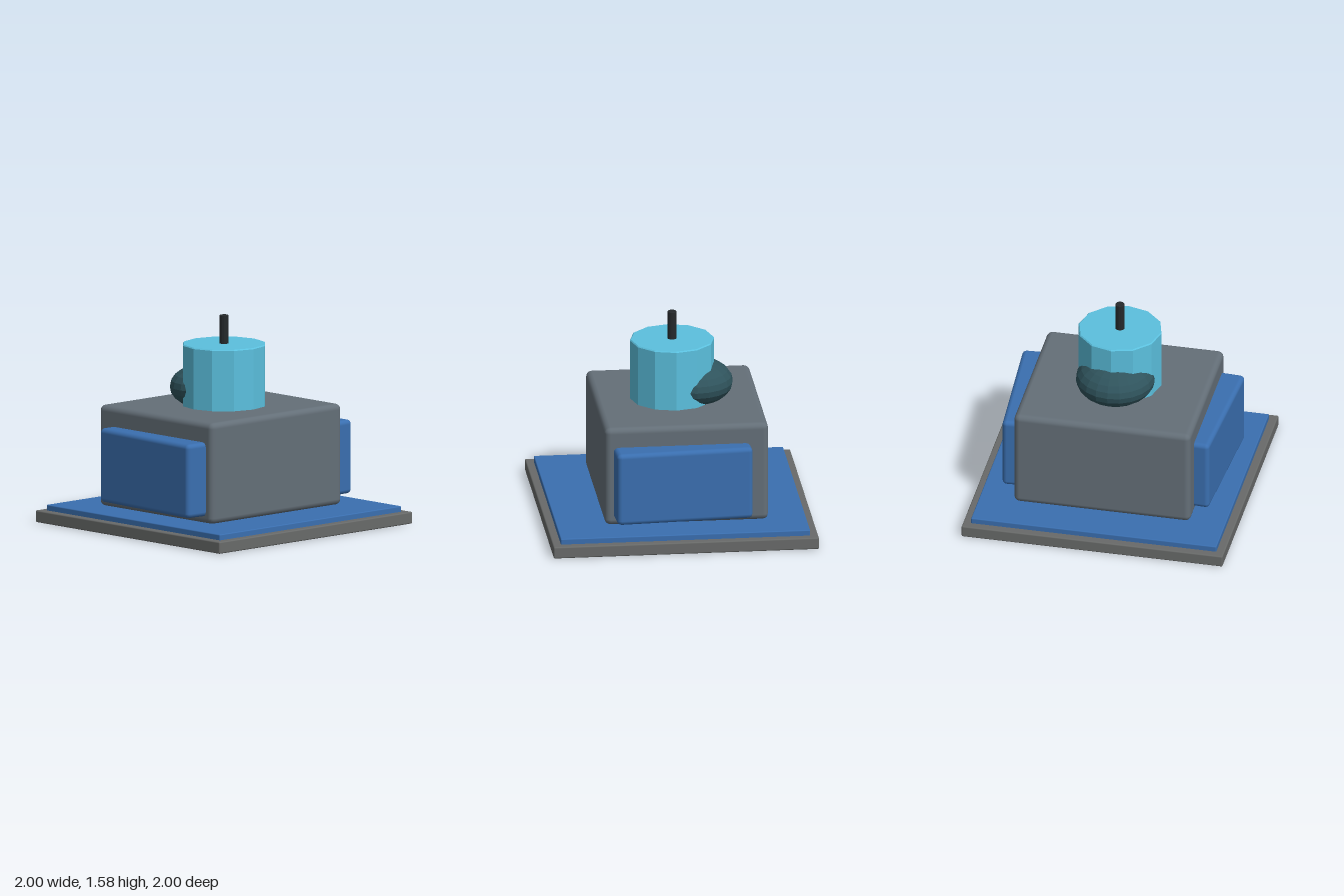
import * as THREE from 'three';
import { RoundedBoxGeometry } from 'three/addons/geometries/RoundedBoxGeometry.js';

const paint = (color, flatShading = false) => new THREE.MeshStandardMaterial({ color, flatShading });

export function createModel() {
  const model = new THREE.Group();
  const blue = paint(0x3a6fb0);

  const add = (name, geometry, material, x, y, z) => {
    const mesh = new THREE.Mesh(geometry, material);
    mesh.name = name;
    mesh.position.set(x, y, z);
    model.add(mesh);
    return mesh;
  };

  // Box with softened edges, standing on the height y0
  const block = (name, [w, h, d], bevel, material, x, y0, z) =>
    add(name, new RoundedBoxGeometry(w, h, d, 2, bevel), material, x, y0 + h / 2, z);

  // Upright faceted post with a small chamfer at both ends
  const post = (name, r, y0, y1, sides, c, material) => {
    const profile = [[0, y0], [r - c, y0], [r, y0 + c], [r, y1 - c], [r - c, y1], [0, y1]];
    const points = profile.map(([x, y]) => new THREE.Vector2(x, y));
    return add(name, new THREE.LatheGeometry(points, sides), material, 0, 0, 0);
  };

  // Square base with an inset plate
  block('base', [2, 0.09, 2], 0.01, paint(0x686a69), 0, 0, 0);
  block('basePlate', [1.88, 0.06, 1.88], 0.008, blue, 0, 0.073, 0);

  // Main body, slightly longer to the back
  block('body', [1.354, 0.768, 1.234], 0.045, paint(0x646f78), 0, 0.131, -0.038);

  // Side panels, turned so that they flare out to the front
  for (const side of [1, -1]) {
    const panel = block(side > 0 ? 'leftPanel' : 'rightPanel',
      [0.4, 0.562, 1.03], 0.035, blue, side * 0.623, 0.187, 0);
    panel.rotation.y = side * 0.059;
  }

  // Twelve-sided tower with a rod on top
  post('tower', 0.318, 0.88, 1.365, 12, 0.008, paint(0x5bc0de, true));
  post('rod', 0.035, 1.34, 1.58, 16, 0.004, paint(0x25292b, true));

  // Flattened faceted dome at the back of the tower
  const dome = add('rearDome', new THREE.SphereGeometry(1, 20, 12), paint(0x2f535c, true), 0, 1.02, -0.16);
  dome.scale.set(0.298, 0.175, 0.298);

  return model;
}
